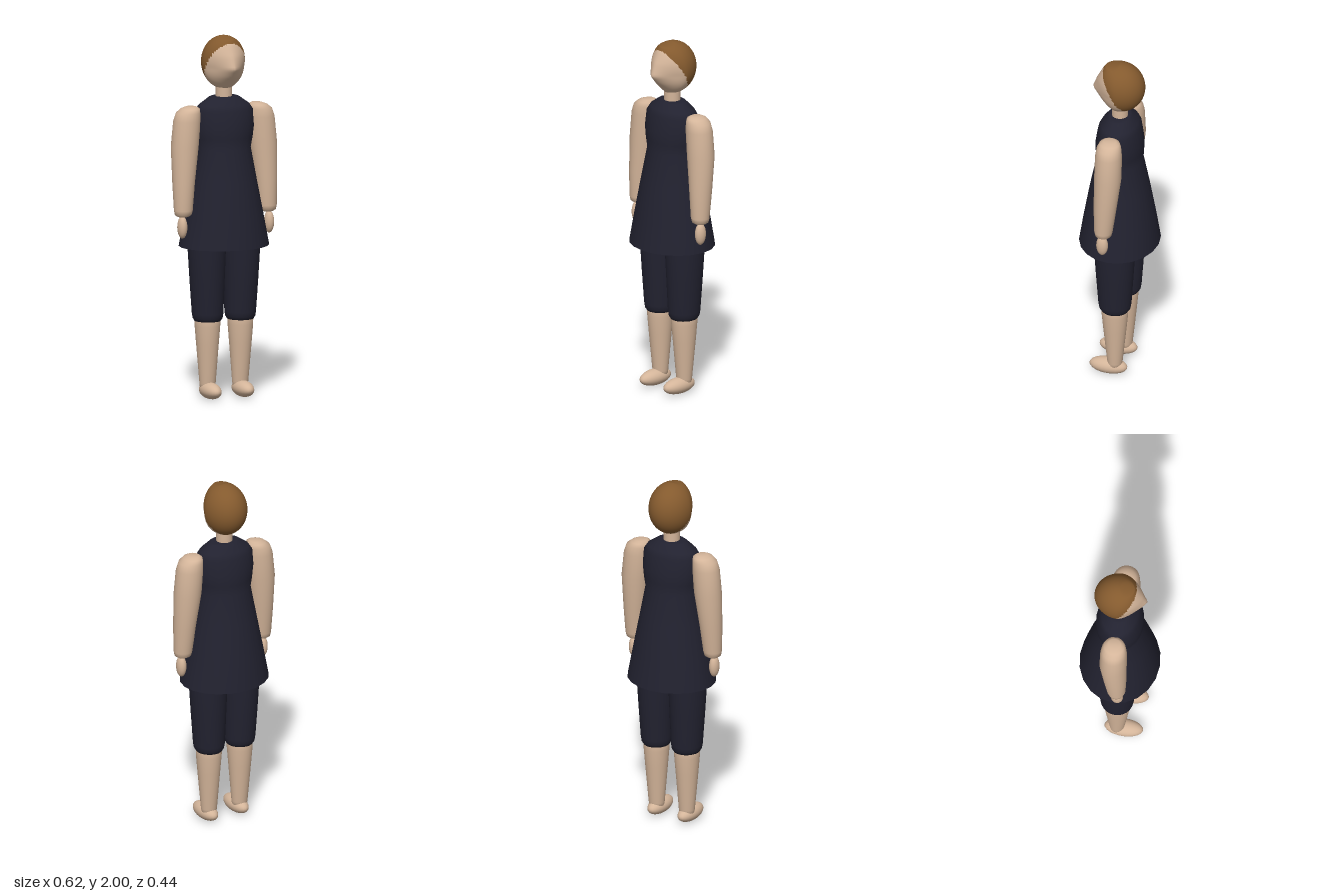
import * as THREE from 'three';
import { mergeVertices } from 'three/addons/utils/BufferGeometryUtils.js';

const material = (name, color, side = THREE.FrontSide) => {
  const m = new THREE.MeshStandardMaterial({ color, side });
  m.name = name;
  return m;
};

// Smooth skin over elliptical rings, listed top to bottom: [y, cx, rx, cz, rz]
function loft(rings, { sides = 24, mirror = 1, open = false } = {}) {
  const list = [...rings].reverse();
  if (!open) list.unshift([list[0][0], list[0][1], 0, list[0][3], 0]);
  const top = list[list.length - 1];
  list.push([top[0], top[1], 0, top[3], 0]);
  const pos = [], index = [];
  list.forEach(([y, cx, rx, cz, rz], r) => {
    for (let i = 0; i < sides; i++) {
      const a = (i / sides) * Math.PI * 2;
      pos.push(cx * mirror + rx * Math.sin(a), y, cz + rz * Math.cos(a));
      if (r === list.length - 1) continue;
      const p = r * sides + i, q = r * sides + (i + 1) % sides;
      index.push(p, q, q + sides, p, q + sides, p + sides);
    }
  });
  const g = new THREE.BufferGeometry();
  g.setAttribute('position', new THREE.Float32BufferAttribute(pos, 3));
  g.setIndex(index);
  g.computeVertexNormals();
  return g;
}

// Linear lookup in a short table of [key, value]
function lookup(table, k) {
  for (let i = 1; i < table.length; i++) {
    const [k0, v0] = table[i - 1], [k1, v1] = table[i];
    if (k <= k1) return v0 + (v1 - v0) * (k - k0) / (k1 - k0);
  }
  return table[table.length - 1][1];
}

// Head: a sphere with its front drawn out to a pointed nose; hair is a face group
function headGeometry() {
  const front = [[-1, 0], [-0.95, 0.045], [-0.5, 0.112], [-0.17, 0.154], [0.3, 0.128],
    [0.7, 0.098], [0.88, 0.08], [1, 0]];
  let g = new THREE.SphereGeometry(1, 64, 44).rotateY(-Math.PI / 2);
  g.deleteAttribute('uv');
  g.deleteAttribute('normal');
  g = mergeVertices(g, 1e-4);
  const p = g.attributes.position;
  for (let i = 0; i < p.count; i++) {
    const x = p.getX(i), v = p.getY(i), z = p.getZ(i);
    const r = Math.hypot(x, z) || 1e-6, s = Math.abs(x) / r, c = Math.abs(z) / r;
    let px = 0.122 * x, pz = 0.14 * z;
    if (z > 0) {
      // Plan section: pointed at nose height, round at the crown and chin
      const e = 1.25 + 0.75 * Math.min(1, Math.abs(v + 0.17));
      const k = Math.pow(Math.pow(s, e) + Math.pow(c, e), -1 / e);
      px = 0.122 * r * Math.sign(x) * s * k;
      pz = lookup(front, v) * c * k;
    }
    p.setXYZ(i, px, 1.853 + 0.147 * v, pz);
  }
  g.computeVertexNormals();
  // Sort faces into skin and hair by a slanting hairline
  const skin = [], hair = [], id = g.index.array;
  for (let t = 0; t < id.length; t += 3) {
    const f = [id[t], id[t + 1], id[t + 2]];
    const y = (p.getY(f[0]) + p.getY(f[1]) + p.getY(f[2])) / 3;
    const z = (p.getZ(f[0]) + p.getZ(f[1]) + p.getZ(f[2])) / 3;
    (z < -0.055 + (y - 1.72) * 0.6 ? hair : skin).push(...f);
  }
  g.setIndex([...skin, ...hair]);
  g.addGroup(0, skin.length, 0);
  g.addGroup(skin.length, hair.length, 1);
  return g;
}

export function createModel() {
  const model = new THREE.Group();
  model.name = 'standingFigure';
  const skin = material('skin', 0xd4b59a);
  const hair = material('hair', 0x845a2e);
  const cloth = material('darkCloth', 0x222230, THREE.DoubleSide);

  const add = (name, geometry, mat) => {
    const mesh = new THREE.Mesh(geometry, mat);
    mesh.name = name;
    model.add(mesh);
    return mesh;
  };
  const ellipsoid = (name, x, y, z, rx, ry, rz) => {
    const mesh = add(name, new THREE.SphereGeometry(1, 24, 16), skin);
    mesh.position.set(x, y, z);
    mesh.scale.set(rx, ry, rz);
  };

  add('headAndHair', headGeometry(), [skin, hair]);
  add('neck', new THREE.CylinderGeometry(0.045, 0.045, 0.15, 24).translate(0, 1.69, 0), skin);

  // Sleeveless flared tunic, open at the hem
  add('tunic', loft([
    [1.665, 0, 0.075, 0, 0.057], [1.66, 0, 0.088, 0, 0.066], [1.62, 0, 0.145, 0, 0.1],
    [1.59, 0, 0.165, 0, 0.115], [1.5, 0, 0.17, 0, 0.13], [1.44, 0, 0.162, 0, 0.13],
    [1.38, 0, 0.15, 0, 0.127], [1.2, 0, 0.183, 0, 0.163], [1, 0, 0.222, 0, 0.197],
    [0.84, 0, 0.252, 0, 0.221],
  ], { sides: 20, open: true }), cloth);

  for (const [side, m] of [['left', 1], ['right', -1]]) {
    add(side + 'Arm', loft([
      [1.617, 0.195, 0.03, 0, 0.035], [1.607, 0.2, 0.052, 0, 0.055],
      [1.585, 0.212, 0.068, 0, 0.067], [1.54, 0.22, 0.076, 0, 0.073],
      [1.4, 0.233, 0.077, 0, 0.075], [1.2, 0.245, 0.062, 0.012, 0.063],
      [1.05, 0.25, 0.052, 0.02, 0.051], [1.025, 0.251, 0.046, 0.02, 0.045],
      [1.015, 0.252, 0.03, 0.02, 0.03],
    ], { mirror: m }), skin);
    ellipsoid(side + 'Hand', m * 0.258, 0.957, 0.025, 0.027, 0.062, 0.033);

    // Knee-length trouser leg with a rounded hem
    add(side + 'TrouserLeg', loft([
      [1, 0.1, 0.1, 0, 0.115], [0.84, 0.102, 0.104, 0, 0.115], [0.65, 0.1, 0.095, 0, 0.103],
      [0.47, 0.097, 0.086, 0, 0.091], [0.445, 0.097, 0.082, 0, 0.087],
      [0.428, 0.097, 0.072, 0, 0.076],
    ], { mirror: m }), cloth);
    add(side + 'Shin', loft([
      [0.5, 0.098, 0.072, 0, 0.074], [0.4, 0.098, 0.07, 0, 0.073], [0.3, 0.098, 0.062, 0, 0.064],
      [0.08, 0.097, 0.045, 0, 0.042], [0.04, 0.097, 0.04, 0, 0.038],
    ], { mirror: m }), skin);
    ellipsoid(side + 'Foot', m * 0.097, 0.045, 0.037, 0.05, 0.045, 0.107);
  }
  return model;
}
